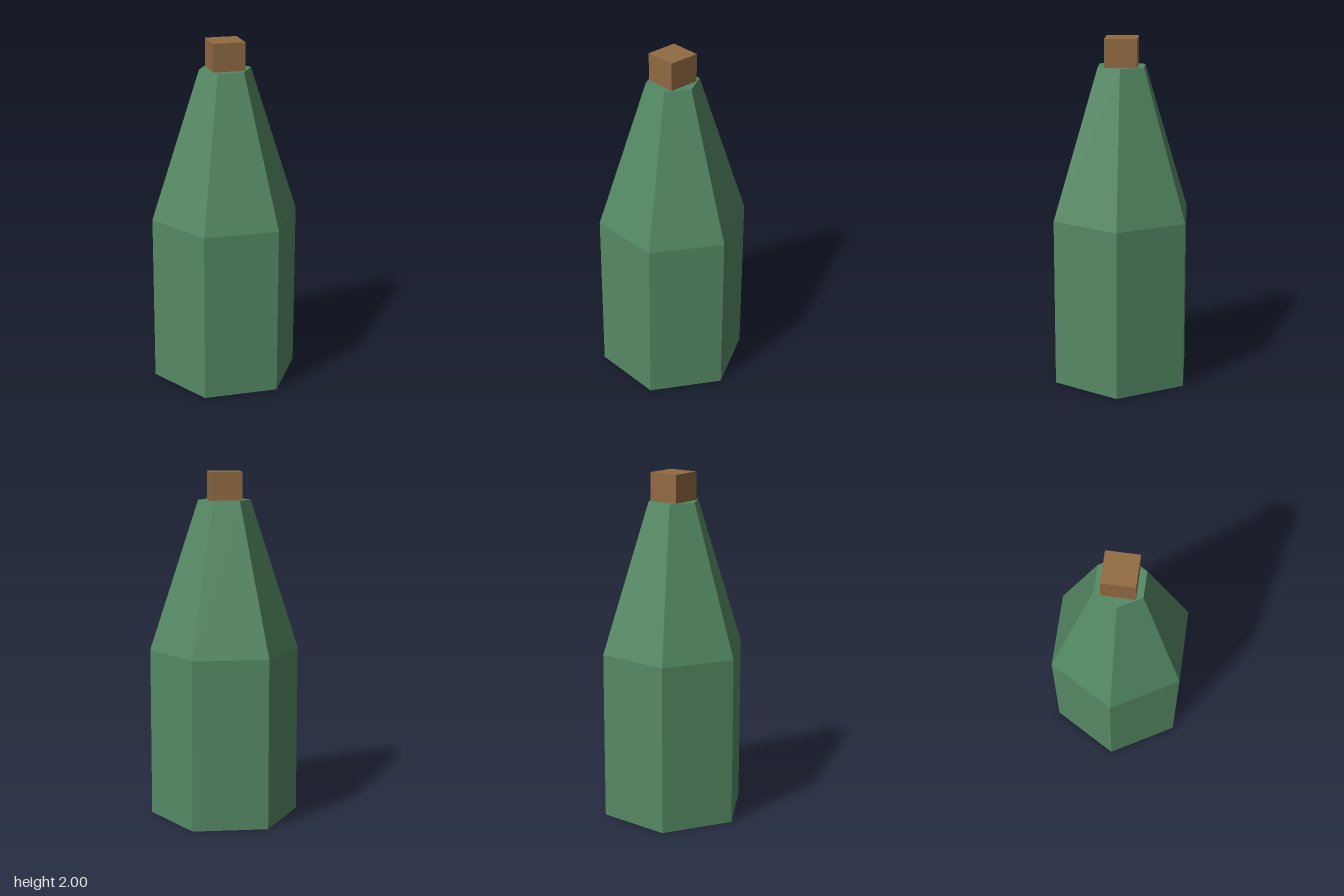
import * as THREE from 'three';

const SIDES = 6;

// Six-sided section with flat faces and corners on the x axis
function hexSection(name, bottomRadius, topRadius, y0, y1, material) {
  const indexed = new THREE.CylinderGeometry(topRadius, bottomRadius, y1 - y0, SIDES, 1, true, Math.PI / 2);
  const geometry = indexed.toNonIndexed();
  geometry.computeVertexNormals();
  const mesh = new THREE.Mesh(geometry, material);
  mesh.name = name;
  mesh.position.y = (y0 + y1) / 2;
  return mesh;
}

// Flat hexagonal cap, facing up or down
function hexCap(name, radius, y, up, material) {
  const mesh = new THREE.Mesh(new THREE.CircleGeometry(radius, SIDES), material);
  mesh.name = name;
  mesh.rotation.x = up ? -Math.PI / 2 : Math.PI / 2;
  mesh.position.y = y;
  return mesh;
}

export function createModel() {
  const glass = new THREE.MeshStandardMaterial({ color: 0x558a65 });
  glass.name = 'green glass';
  const corkBrown = new THREE.MeshStandardMaterial({ color: 0x916a42 });
  corkBrown.name = 'cork brown';

  const model = new THREE.Group();
  model.name = 'bottle';

  // Straight body and tapering neck
  model.add(
    hexCap('base', 0.43, 0, false, glass),
    hexSection('body', 0.43, 0.43, 0, 0.98, glass),
    hexSection('neck', 0.43, 0.15, 0.98, 1.84, glass),
    hexCap('neckTop', 0.15, 1.84, true, glass),
  );

  // Square cork
  const cork = new THREE.Mesh(new THREE.BoxGeometry(0.184, 0.16, 0.184), corkBrown);
  cork.name = 'cork';
  cork.position.y = 1.92;
  model.add(cork);

  return model;
}
